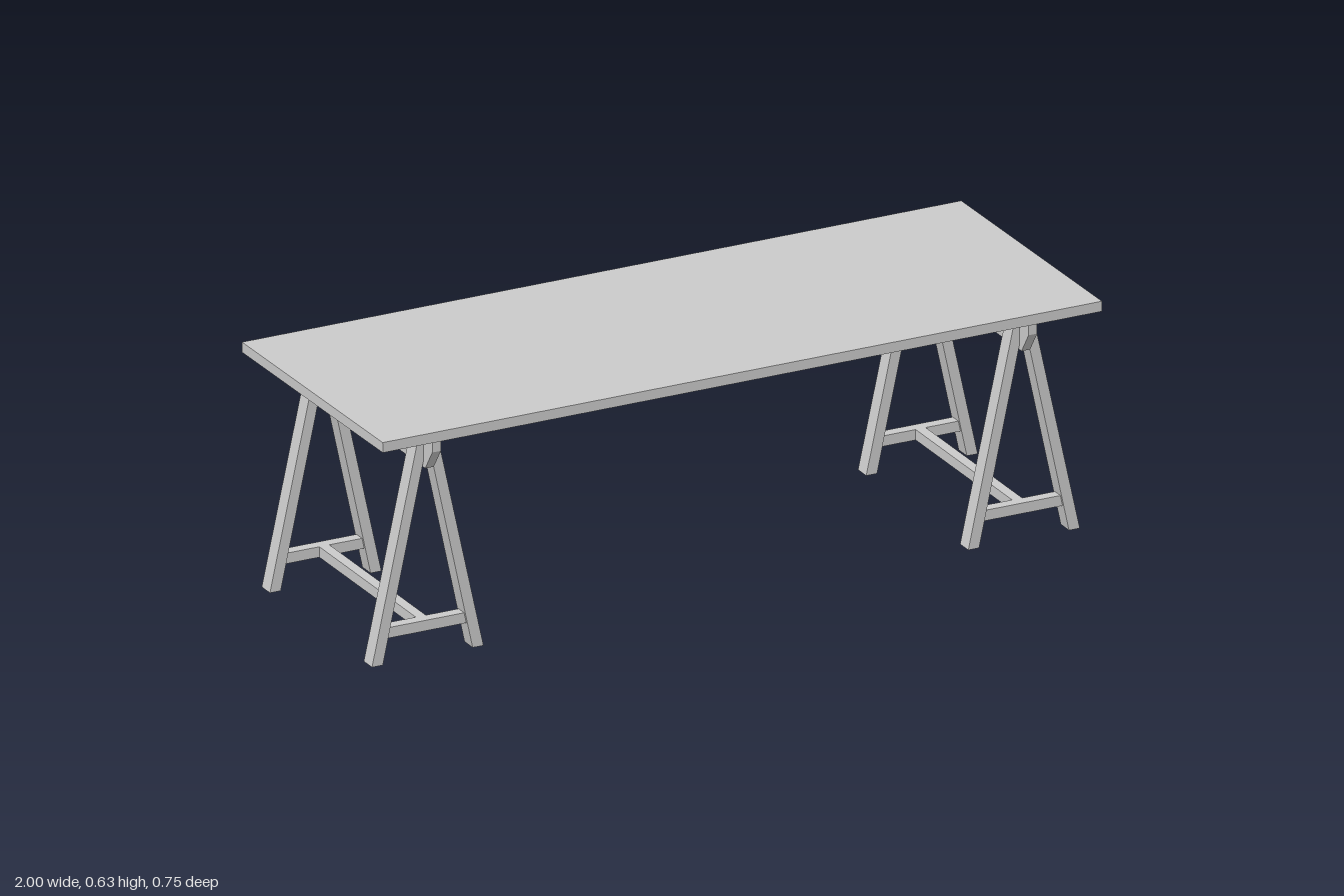
import * as THREE from 'three';

const material = new THREE.MeshStandardMaterial({ color: 0xcccccc, flatShading: true });

function addMesh(parent, name, geometry, x = 0, y = 0, z = 0) {
  const mesh = new THREE.Mesh(geometry, material);
  mesh.name = name;
  mesh.position.set(x, y, z);
  parent.add(mesh);
  return mesh;
}

// Flat board with the given outline, centred on its thickness
function board(points, depth) {
  const shape = new THREE.Shape(points.map(([x, y]) => new THREE.Vector2(x, y)));
  const geometry = new THREE.ExtrudeGeometry(shape, { depth, bevelEnabled: false });
  return geometry.translate(0, 0, -depth / 2);
}

function createTrestle(name, x) {
  const trestle = new THREE.Group();
  trestle.name = name;
  trestle.position.x = x;

  // Top rail with chamfered lower ends
  const rail = board([
    [-0.3, 0.507], [0.305, 0.507], [0.344, 0.563],
    [0.344, 0.603], [-0.338, 0.603], [-0.338, 0.563],
  ], 0.024);
  rail.rotateY(Math.PI / 2);
  addMesh(trestle, 'topRail', rail);

  // Splayed legs, cut level at foot and top, with a crossbar per pair
  for (const [end, z] of [['front', 0.2685], ['back', -0.278]]) {
    for (const [side, s] of [['Left', 1], ['Right', -1]]) {
      const outline = [[0.125, 0], [0.155, 0], [0.023, 0.602], [-0.005, 0.602]];
      const points = outline.map(([px, py]) => [s * px, py]);
      addMesh(trestle, `${end}${side}Leg`, board(points, 0.044), 0, 0, z);
    }
    const crossbar = board([[-0.112, 0.066], [0.112, 0.066], [0.106, 0.094], [-0.106, 0.094]], 0.03);
    addMesh(trestle, `${end}Crossbar`, crossbar, 0, 0, z);
  }

  // Long stretcher joining the two crossbars
  addMesh(trestle, 'stretcher', new THREE.BoxGeometry(0.028, 0.028, 0.53), 0, 0.08, -0.005);
  return trestle;
}

export function createModel() {
  const table = new THREE.Group();
  table.name = 'trestleTable';

  // Tabletop, resting with a very slight backward tilt
  const top = addMesh(table, 'tabletop', new THREE.BoxGeometry(2, 0.027, 0.754), 0, 0.617, 0);
  top.rotation.x = -0.0075;

  table.add(createTrestle('leftTrestle', 0.828), createTrestle('rightTrestle', -0.83));
  return table;
}
